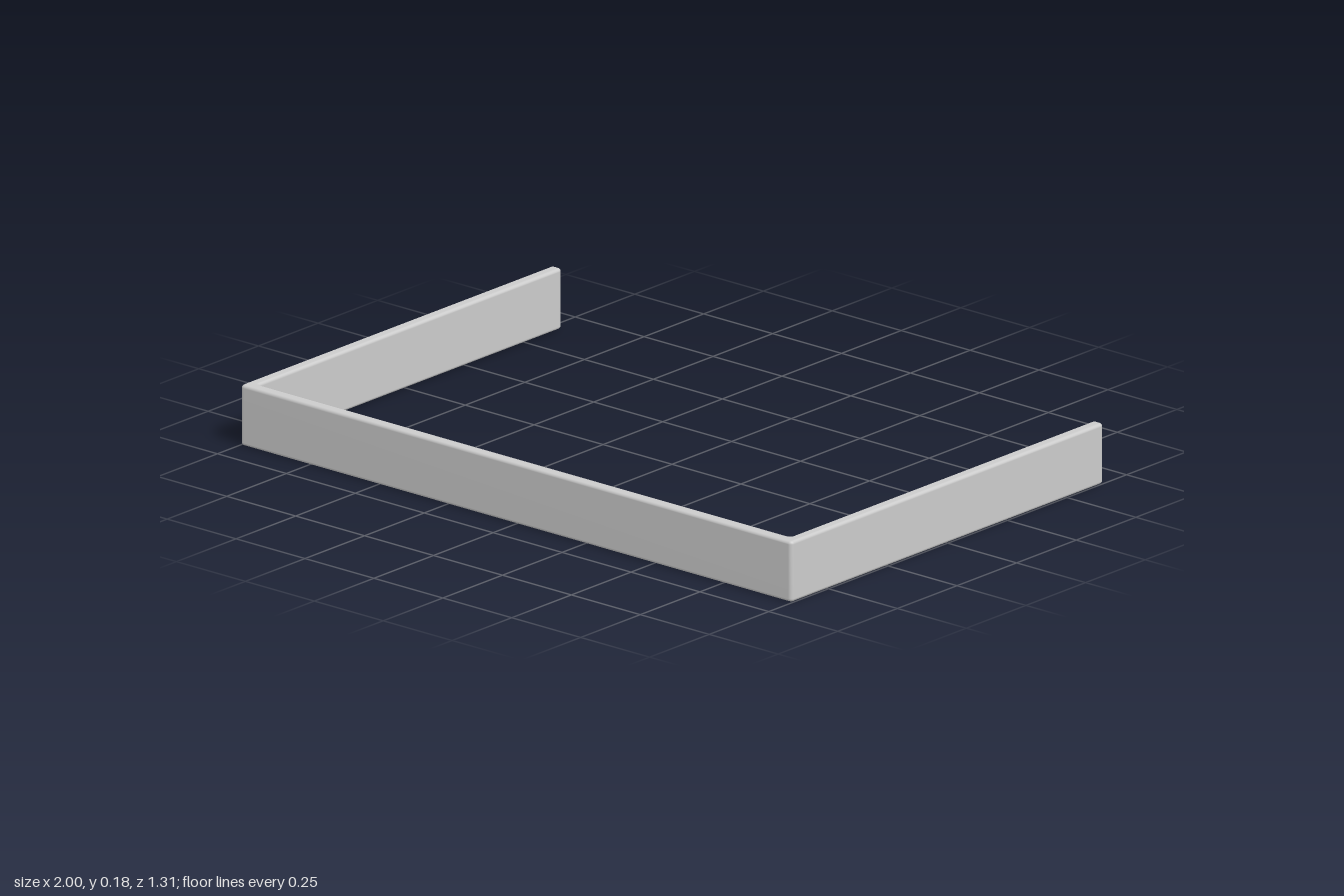
import * as THREE from 'three';
import { mergeVertices } from 'three/addons/utils/BufferGeometryUtils.js';

const W = 1, D = 0.655, H = 0.176, T = 0.036; // half width, half depth, height, wall thickness
const BEVEL = 0.009;

// Closed outline whose corners [x, y, radius] are rounded
function roundedOutline(corners) {
  const shape = new THREE.Shape();
  const n = corners.length;
  corners.forEach(([x, y, r], i) => {
    const p = new THREE.Vector2(x, y);
    const toward = ([qx, qy]) => new THREE.Vector2(qx, qy).sub(p).setLength(r).add(p);
    const a = toward(corners[(i + n - 1) % n]);
    const b = toward(corners[(i + 1) % n]);
    if (i === 0) shape.moveTo(a.x, a.y);
    else shape.lineTo(a.x, a.y);
    shape.quadraticCurveTo(x, y, b.x, b.y);
  });
  shape.closePath();
  return shape;
}

export function createModel() {
  const group = new THREE.Group();
  group.name = 'bracket';

  // U-shaped plan, drawn inside the final outline by the bevel size
  const xo = W - BEVEL, xi = W - T + BEVEL;
  const front = -D + BEVEL, inner = -D + T - BEVEL, back = D - BEVEL;
  const r = 0.004, fillet = 0.02;
  const plan = roundedOutline([
    [-xo, front, r], [xo, front, r], [xo, back, r], [xi, back, r],
    [xi, inner, fillet], [-xi, inner, fillet], [-xi, back, r], [-xo, back, r],
  ]);

  // Upright band with rounded rims
  let geometry = new THREE.ExtrudeGeometry(plan, {
    depth: H - 2 * BEVEL, curveSegments: 5,
    bevelEnabled: true, bevelSize: BEVEL, bevelThickness: BEVEL, bevelSegments: 5,
  });
  geometry.rotateX(-Math.PI / 2);
  geometry.translate(0, BEVEL, 0);

  // Smooth, area-weighted normals keep the broad walls flat
  geometry.deleteAttribute('uv');
  geometry.deleteAttribute('normal');
  geometry = mergeVertices(geometry, 1e-5);
  geometry.computeVertexNormals();

  const band = new THREE.Mesh(geometry, new THREE.MeshStandardMaterial({ color: 0xcccccc }));
  band.name = 'threeSidedBand';
  group.add(band);
  return group;
}
